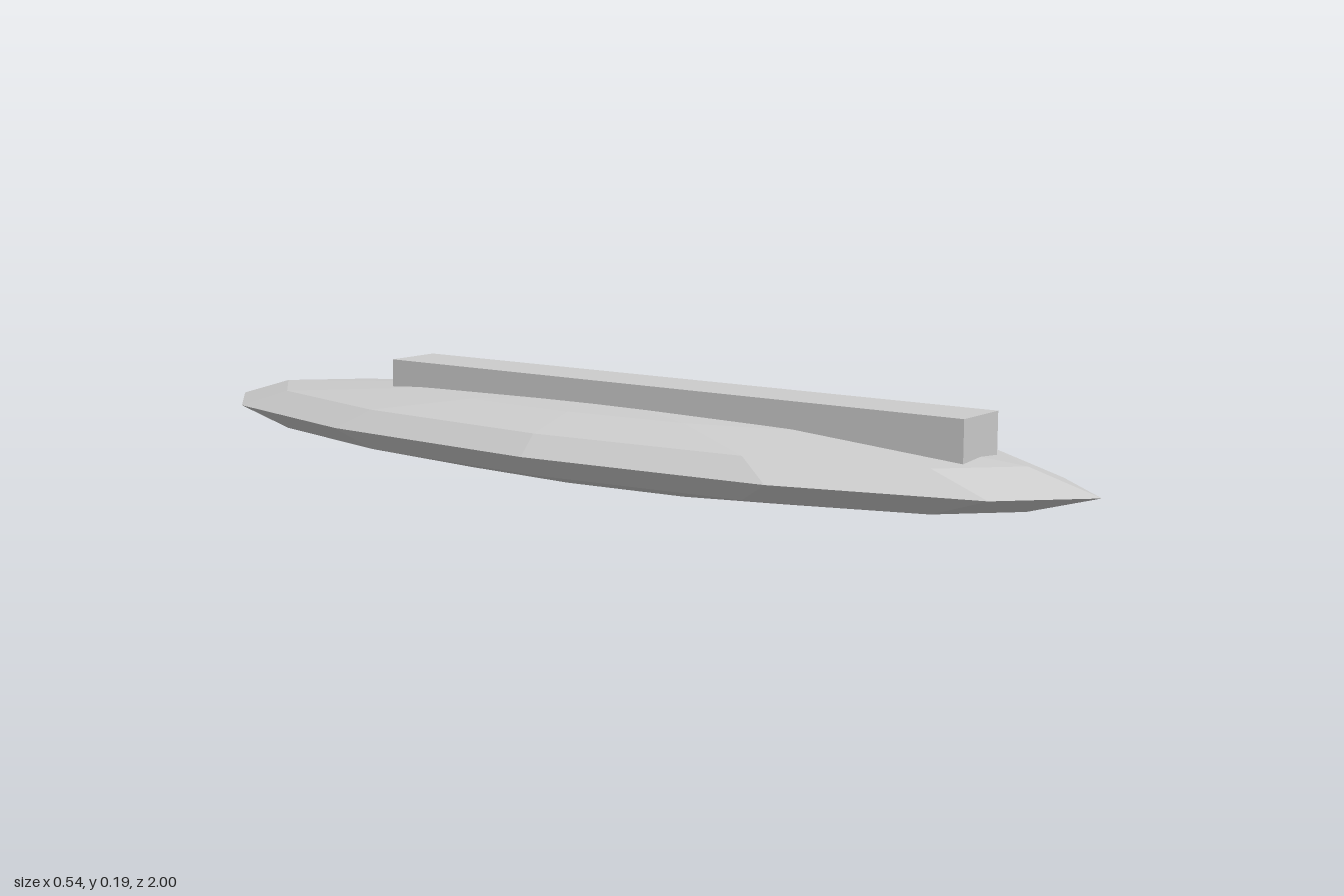
import * as THREE from 'three';

export function createModel() {
  const model = new THREE.Group();
  const lightGrey = new THREE.MeshStandardMaterial({ color: 0xcccccc });
  lightGrey.name = 'lightGrey';
  lightGrey.flatShading = true;

  // Faceted, flattened hull tapering to a point at both ends
  const hullGeometry = new THREE.SphereGeometry(1, 12, 6);
  hullGeometry.scale(0.27, 0.0767, 1);
  const hull = new THREE.Mesh(hullGeometry, lightGrey);
  hull.name = 'hull';
  hull.position.y = 0.0767;
  model.add(hull);

  // Long raised spine, set toward the front and sunk into the hull
  const bottom = 0.08, top = 0.193, back = -0.507, front = 0.778;
  const spine = new THREE.Mesh(new THREE.BoxGeometry(0.119, top - bottom, front - back), lightGrey);
  spine.name = 'spine';
  spine.position.set(0, (top + bottom) / 2, (front + back) / 2);
  model.add(spine);

  return model;
}
